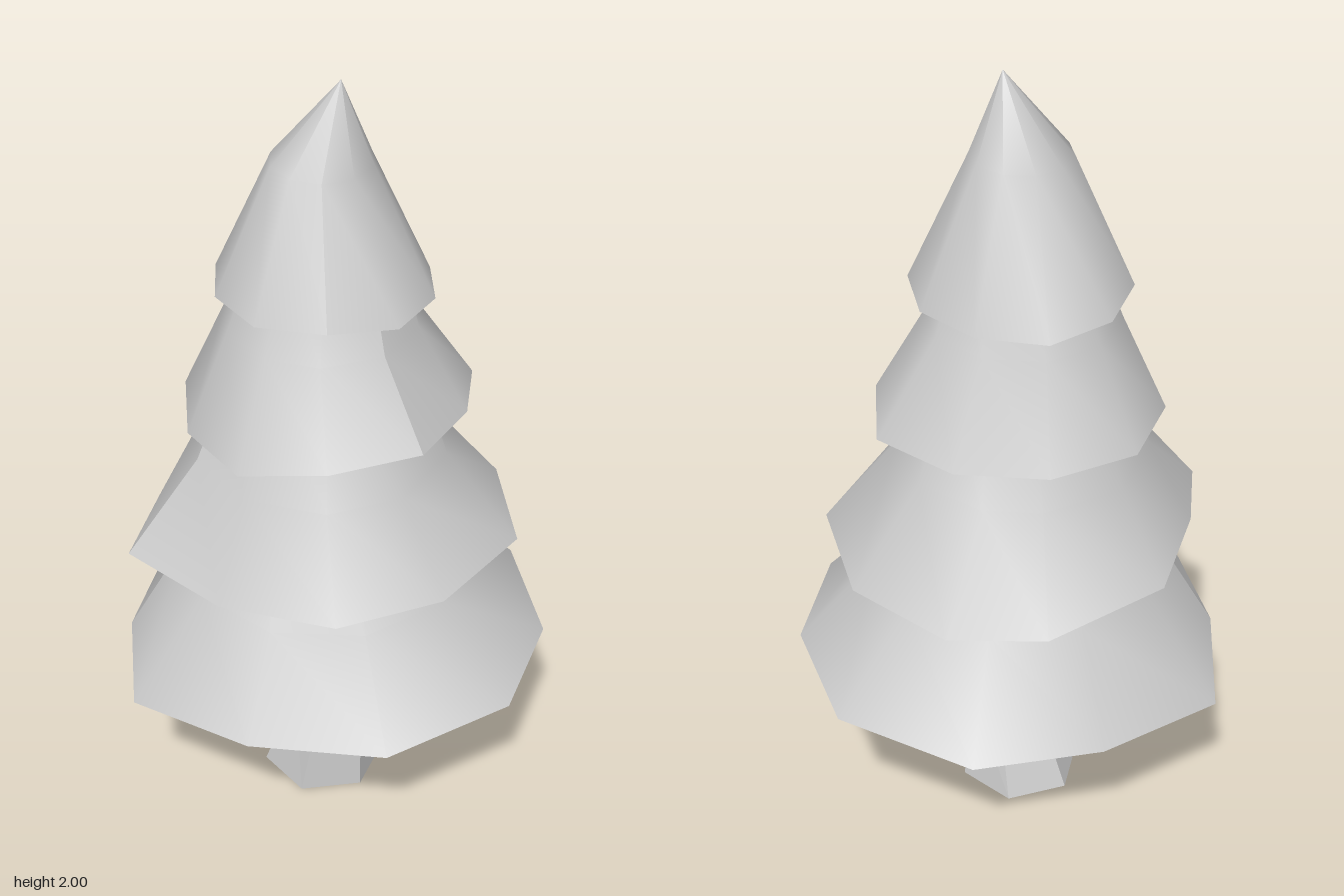
import * as THREE from 'three';

const leafMaterial = new THREE.MeshStandardMaterial({ color: 0xcccccc, side: THREE.DoubleSide });
const barkMaterial = new THREE.MeshStandardMaterial({ color: 0xcccccc, side: THREE.DoubleSide, flatShading: true });

// Each tier: uneven ten-sided rim [x, z], then a waist and a neck ring.
// The rim starts at the seam, where the shading has a hard crease;
// rimHeight gives its base height, slopes along x and z, and bow along z.
const tiers = [
  {
    name: 'bottomFoliage',
    rimHeight: [0.443, 0.05, 0, 0.05],
    waist: { x: -0.005, y: 0.7, z: 0, r: 0.362 }, neck: { x: 0, y: 1.05, z: 0, r: 0.175 },
    rim: [[-0.34, 0.385], [-0.055, 0.57], [0.255, 0.45], [0.5, 0.215], [0.545, -0.14],
      [0.38, -0.41], [0.075, -0.575], [-0.28, -0.475], [-0.46, -0.2], [-0.55, 0.13]],
  },
  {
    name: 'lowerFoliage',
    rimHeight: [0.81, 0, 0, -0.087],
    waist: { x: -0.018, y: 1.03, z: 0.005, r: 0.312 }, neck: { x: -0.015, y: 1.3, z: 0, r: 0.215 },
    rim: [[-0.195, 0.47], [0.115, 0.42], [0.36, 0.26], [0.445, 0], [0.365, -0.31],
      [0.1, -0.48], [-0.2, -0.475], [-0.39, -0.33], [-0.47, 0], [-0.335, 0.28]],
  },
  {
    name: 'upperFoliage',
    rimHeight: [1.167, 0.05, 0, -0.15],
    waist: { x: -0.015, y: 1.39, z: 0.008, r: 0.236 }, neck: { x: -0.01, y: 1.6, z: 0, r: 0.165 },
    rim: [[0.355, 0], [0.27, -0.21], [0.12, -0.36], [-0.105, -0.34], [-0.29, -0.21],
      [-0.375, 0], [-0.29, 0.215], [-0.105, 0.34], [0.12, 0.36], [0.27, 0.215]],
  },
  {
    name: 'topFoliage',
    rimHeight: [1.48, 0.03, 0.06, 0],
    waist: { x: -0.01, y: 1.8, z: 0.008, r: 0.122 }, neck: { x: 0.025, y: 2, z: -0.018, r: 0 },
    rim: [[0.2, 0.16], [0.272, 0.01], [0.205, -0.155], [0.075, -0.25], [-0.095, -0.25],
      [-0.245, -0.165], [-0.29, 0], [-0.23, 0.155], [-0.095, 0.255], [0.075, 0.27]],
  },
];

// Skin stacked rings of equal point count, bottom to top, open at both ends
function loft(name, rings, material) {
  const closed = rings.map((ring) => [...ring, ring[0]]);
  const n = closed[0].length;
  const index = [];
  for (let k = 0; k < rings.length - 1; k++) {
    for (let i = 0; i < n - 1; i++) {
      const a = k * n + i;
      index.push(a, a + 1, a + n, a + 1, a + n + 1, a + n);
    }
  }
  const geometry = new THREE.BufferGeometry();
  geometry.setAttribute('position', new THREE.Float32BufferAttribute(closed.flat(2), 3));
  geometry.setIndex(index);
  geometry.computeVertexNormals();
  const mesh = new THREE.Mesh(geometry, material);
  mesh.name = name;
  return mesh;
}

// Foliage skirt: the upper rings line up with the rim corners
function foliage({ name, rimHeight, rim, waist, neck }) {
  const [base, slopeX, slopeZ, bow] = rimHeight;
  const hem = rim.map(([x, z]) => [x, base + slopeX * x + slopeZ * z + bow * z * z, z]);
  const ringAt = ({ x, y, z, r }) => rim.map(([cx, cz]) => {
    const s = r / Math.hypot(cx, cz);
    return [x + cx * s, y, z + cz * s];
  });
  return loft(name, [hem, ringAt(waist), ringAt(neck)], leafMaterial);
}

// Hollow, bent six-sided trunk
function trunk() {
  const sections = [
    { x: -0.009, y: 0, z: 0.006, rx: 0.157, rz: 0.137, tilt: 0 },
    { x: 0.036, y: 0.262, z: 0.003, rx: 0.106, rz: 0.092, tilt: 0.26 },
    { x: 0.012, y: 0.56, z: 0.003, rx: 0.095, rz: 0.083, tilt: 0 },
  ];
  const rings = sections.map(({ x, y, z, rx, rz, tilt }) => Array.from({ length: 6 }, (_, i) => {
    const angle = (-i * Math.PI) / 3;
    const dx = Math.cos(angle) * rx;
    return [x + dx, y + tilt * dx, z + (Math.sin(angle) / Math.sin(Math.PI / 3)) * rz];
  }));
  return loft('trunk', rings, barkMaterial);
}

export function createModel() {
  const tree = new THREE.Group();
  tree.name = 'pineTree';
  tree.add(trunk(), ...tiers.map(foliage));
  return tree;
}
